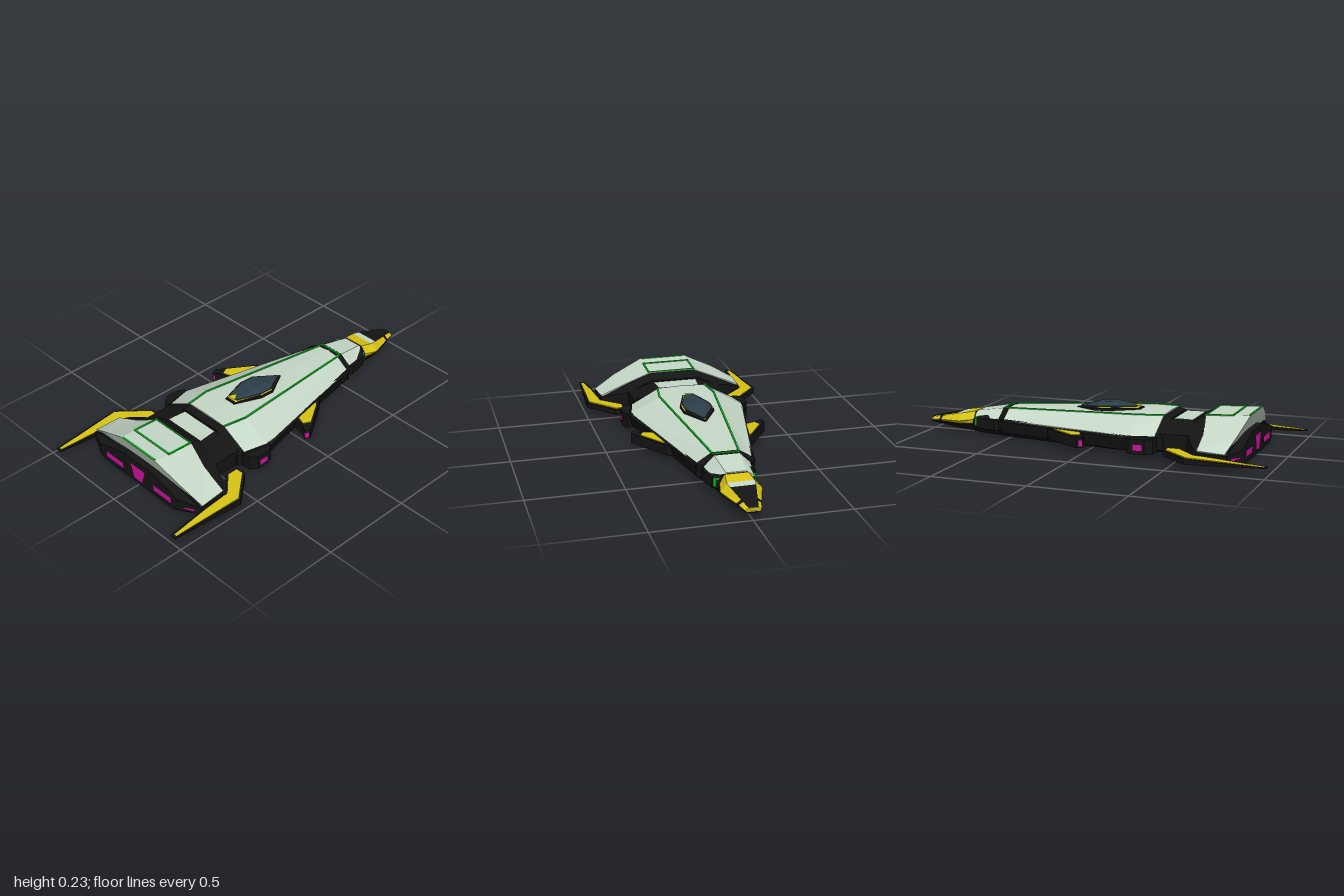
import * as THREE from 'three';

const mat = (color) => new THREE.MeshStandardMaterial({ color, flatShading: true, side: THREE.DoubleSide });
const shell = mat(0xc6d8c8), black = mat(0x141414), yellow = mat(0xd8c414);
const green = mat(0x10c424), pink = mat(0xd012a0), glass = mat(0x2c3e48);

function meshFrom(name, tris, material) {
  const g = new THREE.BufferGeometry();
  g.setAttribute('position', new THREE.Float32BufferAttribute(tris.flat(), 3));
  g.computeVertexNormals();
  const m = new THREE.Mesh(g, material);
  m.name = name;
  return m;
}

// Symmetric hull: each section is [z, [x, y, dz?]...], a half outline from top to bottom, z rising
function loft(name, material, sections) {
  const rings = sections.map(([z, ...pts]) => {
    const half = pts.map(([x, y, dz = 0]) => [x, y, z + dz]);
    return [...half, ...half.map(([x, y, zz]) => [-x, y, zz]).reverse()];
  });
  const n = rings[0].length, tris = [];
  const centre = (r) => [0, 1, 2].map((k) => r.reduce((s, p) => s + p[k], 0) / n);
  const first = rings[0], last = rings[rings.length - 1];
  for (let j = 0; j < n; j++) {
    const k = (j + 1) % n;
    for (let i = 0; i + 1 < rings.length; i++) {
      const a = rings[i][j], b = rings[i][k], c = rings[i + 1][k], d = rings[i + 1][j];
      tris.push(a, c, b, a, d, c);
    }
    tris.push(centre(first), first[j], first[k], centre(last), last[k], last[j]);
  }
  return meshFrom(name, tris, material);
}

// Flat panel through the given corners
function plate(name, material, pts) {
  const tris = [];
  for (let i = 1; i + 1 < pts.length; i++) tris.push(pts[0], pts[i], pts[i + 1]);
  return meshFrom(name, tris, material);
}
// Symmetric four-cornered panel: two right-hand corners, mirrored
const band = (name, material, a, b) =>
  plate(name, material, [a, b, [-b[0], b[1], b[2]], [-a[0], a[1], a[2]]]);

// Pair of slabs from an [x, z] plan outline, on both sides; warp may move y
function slabs(name, material, outline, y0, y1, warp = (y) => y) {
  const group = new THREE.Group();
  group.name = name + 's';
  for (const s of [1, -1]) {
    const shape = new THREE.Shape(outline.map(([x, z]) => new THREE.Vector2(s * x, -z)));
    const g = new THREE.ExtrudeGeometry(shape, { depth: y1 - y0, bevelEnabled: false });
    g.rotateX(-Math.PI / 2).translate(0, y0, 0);
    const p = g.attributes.position;
    for (let i = 0; i < p.count; i++) p.setY(i, warp(p.getY(i), p.getZ(i)));
    g.computeVertexNormals();
    const m = new THREE.Mesh(g, material);
    m.name = (s > 0 ? 'left ' : 'right ') + name;
    group.add(m);
  }
  return group;
}

// Thin trim strip along a path
function trim(name, pts, size = 0.009) {
  const group = new THREE.Group();
  group.name = name;
  for (let i = 0; i + 1 < pts.length; i++) {
    const a = new THREE.Vector3(...pts[i]), b = new THREE.Vector3(...pts[i + 1]);
    const m = new THREE.Mesh(new THREE.BoxGeometry(size, 0.006, a.distanceTo(b) + 0.004), green);
    m.position.copy(a).lerp(b, 0.5);
    m.lookAt(b);
    m.name = 'trimStrip';
    group.add(m);
  }
  return group;
}
const flip = (pts) => pts.map(([x, y, z]) => [-x, y, z]);

export function createModel() {
  const ship = new THREE.Group();
  ship.name = 'spaceship';
  const add = (...parts) => ship.add(...parts);

  // Nose
  add(
    loft('noseUpper', yellow, [
      [-1, [0.025, 0.068], [0.04, 0.058], [0.035, 0.05]],
      [-0.95, [0.033, 0.079], [0.055, 0.064], [0.045, 0.052]],
      [-0.8, [0.07, 0.112], [0.105, 0.075], [0.09, 0.056]],
      [-0.72, [0.06, 0.128], [0.085, 0.085], [0.08, 0.06]]]),
    loft('noseLower', black, [
      [-1, [0.035, 0.056], [0.04, 0.052], [0.025, 0.043]],
      [-0.8, [0.09, 0.06], [0.1, 0.056], [0.065, 0.027]],
      [-0.7, [0.08, 0.065], [0.09, 0.058], [0.065, 0.018]]]),
    loft('noseBand', black, [
      [-0.945, [0.036, 0.082], [0.058, 0.065], [0.047, 0.05]],
      [-0.93, [0.039, 0.086], [0.063, 0.067], [0.052, 0.05]]]),
    band('noseTopPanel', black, [0.025, 0.071, -1], [0.064, 0.108, -0.83]),
    band('noseStripe', shell, [0.064, 0.108, -0.83], [0.07, 0.1145, -0.79]));

  // Neck
  add(
    loft('neckCore', black, [
      [-0.725, [0.058, 0.125], [0.085, 0.085], [0.085, 0.055], [0.065, 0.018]],
      [-0.69, [0.058, 0.126], [0.105, 0.1], [0.105, 0.05], [0.07, 0.015]],
      [-0.52, [0.064, 0.154], [0.125, 0.1], [0.125, 0.04], [0.085, 0.01]]]),
    loft('neckShell', shell, [
      [-0.71, [0.05, 0.131], [0.095, 0.1], [0.09, 0.095]],
      [-0.55, [0.066, 0.158], [0.12, 0.105], [0.115, 0.1]]]),
    slabs('neckBlock', black, [[0.09, -0.685], [0.112, -0.68], [0.133, -0.575], [0.12, -0.555], [0.09, -0.555]], 0.045, 0.1),
    slabs('neckLight', green, [[0.085, -0.705], [0.1, -0.705], [0.11, -0.692], [0.085, -0.692]], 0.06, 0.105));

  // Main hull: dark lower body with a pale shell on top
  add(
    loft('lowerHull', black, [
      [-0.53, [0.145, 0.112], [0.152, 0.1], [0.14, 0.04], [0.09, 0.01]],
      [-0.2, [0.2, 0.115], [0.215, 0.1], [0.2, 0.038], [0.14, 0.01]],
      [0.25, [0.31, 0.118], [0.326, 0.105], [0.305, 0.04], [0.2, 0.013]],
      [0.39, [0.28, 0.118], [0.292, 0.105], [0.28, 0.045], [0.18, 0.018]]]),
    loft('upperShell', shell, [
      [-0.53, [0, 0.163], [0.066, 0.16], [0.143, 0.108], [0.14, 0.1]],
      [0.25, [0, 0.2], [0.15, 0.195], [0.312, 0.116], [0.3, 0.1]],
      [0.38, [0, 0.202], [0.13, 0.198], [0.282, 0.116], [0.27, 0.1]]]),
    loft('frontCollar', black, [
      [-0.55, [0.067, 0.156], [0.13, 0.11], [0.13, 0.05], [0.09, 0.012]],
      [-0.525, [0.069, 0.164], [0.153, 0.112], [0.15, 0.045], [0.09, 0.011]],
      [-0.515, [0.069, 0.163], [0.153, 0.11], [0.15, 0.045], [0.09, 0.011]]]),
    band('frontBellyPanel', shell, [0.045, 0.007, -0.5], [0.095, 0.007, -0.06]),
    plate('rearBellyPanel', shell, [[0.1, 0.006, 0], [0.125, 0.006, 0.2], [0.08, 0.01, 0.34],
      [-0.08, 0.01, 0.34], [-0.125, 0.006, 0.2], [-0.1, 0.006, 0]]));
  const ridge = [[0.068, 0.162, -0.53], [0.152, 0.197, 0.25], [0.132, 0.2, 0.38]];
  add(trim('leftHullTrim', ridge), trim('rightHullTrim', flip(ridge)),
    trim('frontHullTrim', [[-0.068, 0.164, -0.535], [0.068, 0.164, -0.535]]));

  // Canopy: dark frame, yellow rim and glass, each smaller and taller
  const canopy = (name, material, s, lift) => {
    const sec = (z, wTop, yTop, w, y) =>
      [0.035 + (z - 0.035) * s, [wTop * s, yTop + lift], [w * s, y + lift], [w * s, 0.17]];
    return loft(name, material, [sec(-0.145, 0, 0.185, 0.004, 0.184), sec(-0.01, 0.045, 0.215, 0.083, 0.197),
      sec(0.07, 0.045, 0.219, 0.083, 0.201), sec(0.22, 0.025, 0.205, 0.032, 0.203)]);
  };
  add(canopy('canopyFrame', black, 1, 0), canopy('canopyRim', yellow, 0.94, 0.0025),
    canopy('canopyGlass', glass, 0.87, 0.0105),
    plate('canopyTailMark', yellow, [[0, 0.221, 0.175], [0.026, 0.215, 0.208], [-0.026, 0.215, 0.208]]));

  // Side fins and engine pods with small lights
  add(
    slabs('sideFin', black, [[0.19, -0.24], [0.22, -0.225], [0.335, -0.055], [0.366, -0.005], [0.35, 0.022],
      [0.315, 0.0], [0.265, -0.01], [0.2, -0.02]], 0.045, 0.1),
    slabs('sideFinPanel', yellow, [[0.225, -0.185], [0.24, -0.178], [0.325, -0.05], [0.305, -0.012], [0.255, -0.03]], 0.095, 0.104),
    slabs('sideFinLight', pink, [[0.345, 0.005], [0.364, 0.004], [0.354, 0.023], [0.342, 0.018]], 0.053, 0.084),
    slabs('enginePod', black, [[0.27, 0.245], [0.333, 0.248], [0.35, 0.275], [0.35, 0.35], [0.325, 0.385], [0.27, 0.392]], 0.035, 0.112),
    slabs('enginePodLight', pink, [[0.34, 0.29], [0.353, 0.29], [0.353, 0.337], [0.34, 0.337]], 0.055, 0.085));

  // Link between the main hull and the tail
  add(
    loft('rearCollar', black, [
      [0.375, [0.13, 0.196], [0.284, 0.115], [0.28, 0.045], [0.18, 0.02]],
      [0.42, [0.12, 0.185], [0.27, 0.11], [0.265, 0.045], [0.18, 0.022]]]),
    loft('link', black, [
      [0.4, [0.125, 0.178], [0.262, 0.13], [0.262, 0.045], [0.18, 0.03]],
      [0.6, [0.125, 0.178], [0.262, 0.13], [0.262, 0.045], [0.18, 0.03]]]),
    band('linkPanel', shell, [0.112, 0.182, 0.43], [0.122, 0.182, 0.53]));

  // Tail: dark core, pale shell and engine block
  add(
    loft('tailCore', black, [
      [0.545, [0.14, 0.185], [0.25, 0.13], [0.27, 0.04], [0.25, 0.01]],
      [0.6, [0.122, 0.212], [0.36, 0.1], [0.36, 0.03], [0.28, 0.008]],
      [0.64, [0.122, 0.213], [0.405, 0.08], [0.405, 0.035], [0.28, 0.007]],
      [0.8, [0.122, 0.22], [0.4, 0.08, -0.01], [0.4, 0.035, -0.01], [0.28, 0.005]]]),
    loft('tailShell', shell, [
      [0.6, [0.125, 0.216], [0.26, 0.152, 0.03], [0.402, 0.092, 0.035], [0.39, 0.078, 0.035]],
      [0.78, [0.13, 0.228, 0.053], [0.29, 0.155, 0.03], [0.412, 0.086], [0.39, 0.075]]]),
    loft('engineBlock', black, [
      [0.65, [0.11, 0.145], [0.41, 0.078], [0.41, 0.035], [0.28, 0.006]],
      [0.79, [0.11, 0.145], [0.41, 0.078], [0.41, 0.035], [0.28, 0.004]],
      [0.84, [0.11, 0.143], [0.3, 0.092], [0.3, 0.028], [0.26, 0.008]]]),
    trim('tailFrontTrim', [[-0.13, 0.218, 0.605], [0.13, 0.218, 0.605]], 0.006),
    trim('tailRearTrim', [[-0.13, 0.225, 0.745], [0.13, 0.225, 0.745]]),
    trim('tailEdgeTrim', [[-0.12, 0.228, 0.826], [0.12, 0.228, 0.826]]));
  const tailSide = [[0.13, 0.217, 0.6], [0.13, 0.224, 0.745]];
  add(trim('leftTailTrim', tailSide), trim('rightTailTrim', flip(tailSide)));

  // Engine lights
  add(band('centreEngineLight', pink, [0.057, 0.114, 0.844], [0.031, 0.032, 0.844]));
  for (const s of [1, -1]) {
    const quad = (x0, z0, x1, z1, y0, y1) =>
      [[s * x0, y0, z0], [s * x1, y0, z1], [s * x1, y1, z1], [s * x0, y1, z0]];
    add(plate('engineLight', pink, quad(0.115, 0.844, 0.25, 0.844, 0.04, 0.075)),
      plate('outerEngineLight', pink, quad(0.325, 0.836, 0.38, 0.806, 0.05, 0.06)));
  }

  // Swept winglets, thinning towards their rear tips
  const thin = (y, z) => THREE.MathUtils.lerp(y, 0.049, THREE.MathUtils.clamp((z - 0.6) / 0.46, 0, 1));
  add(
    slabs('winglet', black, [[0.3, 0.45], [0.358, 0.45], [0.49, 0.6], [0.488, 0.63], [0.464, 1], [0.43, 1],
      [0.41, 0.78], [0.4, 0.62], [0.3, 0.53]], 0.04, 0.069, thin),
    slabs('wingletPanel', yellow, [[0.31, 0.461], [0.352, 0.461], [0.478, 0.604], [0.476, 0.63], [0.455, 0.985],
      [0.44, 0.985], [0.42, 0.77], [0.412, 0.62], [0.31, 0.52]], 0.06, 0.074, thin));

  return ship;
}
